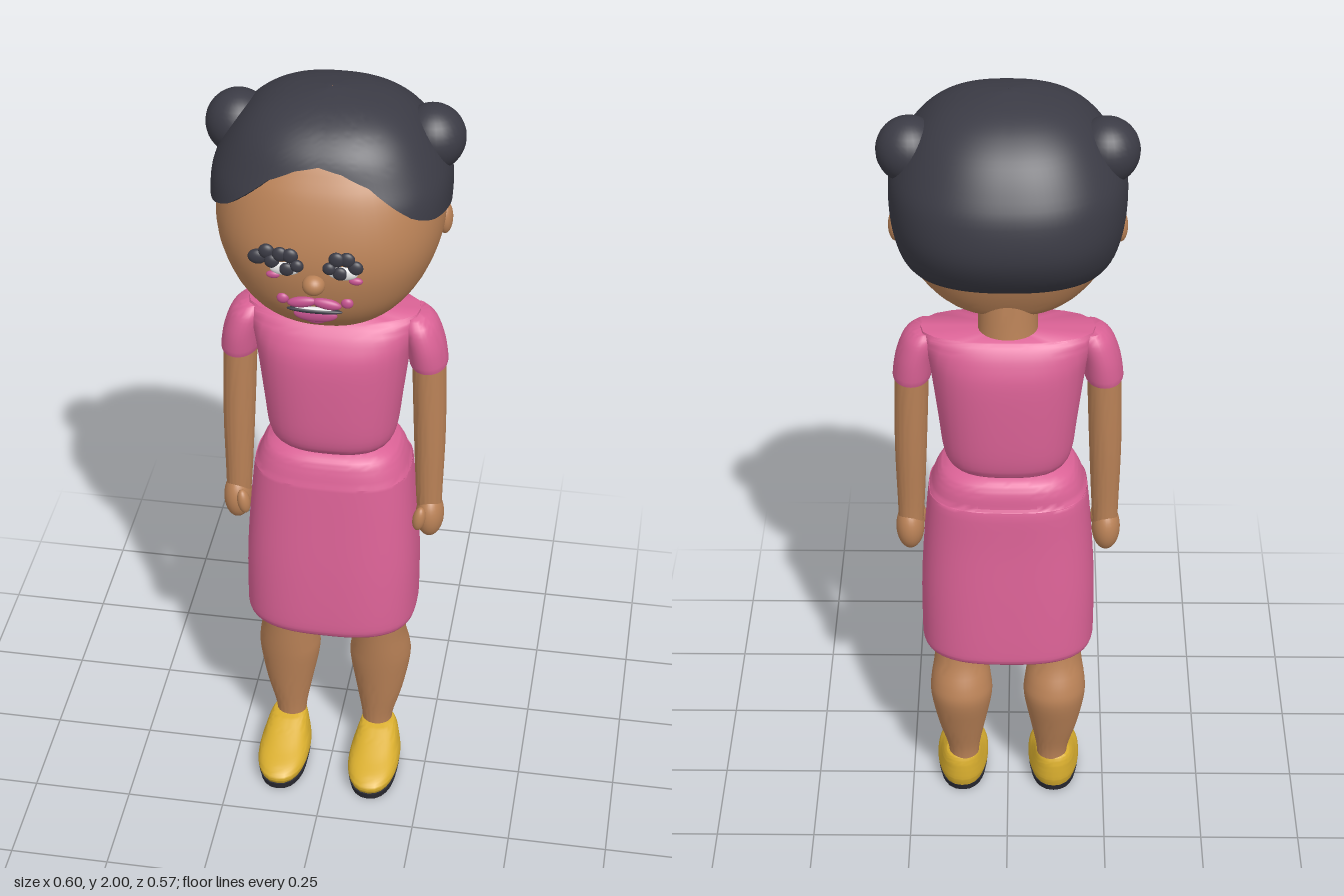
import * as THREE from 'three';
import { toCreasedNormals } from 'three/addons/utils/BufferGeometryUtils.js';

const mat = (name, color, side = THREE.FrontSide) => {
  const m = new THREE.MeshStandardMaterial({ color, side });
  m.name = name;
  return m;
};

// Smoothly subdivide a list of cross-sections
function densify(rings, steps = 4) {
  const out = [];
  const at = i => rings[Math.min(Math.max(i, 0), rings.length - 1)];
  for (let i = 0; i < rings.length - 1; i++) {
    for (let k = 0; k < steps; k++) {
      const t = k / steps;
      out.push(at(i).map((b, c) => {
        const a = at(i - 1)[c], d = at(i + 1)[c], e = at(i + 2)[c];
        return b + 0.5 * t * (d - a + t * (2 * a - 5 * b + 4 * d - e + t * (3 * (b - d) + e - a)));
      }));
    }
  }
  out.push(at(rings.length - 1));
  return out;
}

// Closed surface from rows of points, running upwards and anticlockwise
function grid(rows, cols, point, crease = 0.8) {
  const pos = [], idx = [];
  for (let i = 0; i < rows; i++)
    for (let j = 0; j < cols; j++) pos.push(...point(i, (j / cols) * Math.PI * 2));
  for (let i = 0; i < rows - 1; i++)
    for (let j = 0; j < cols; j++) {
      const a = i * cols + j, b = i * cols + ((j + 1) % cols);
      idx.push(a, b, b + cols, a, b + cols, a + cols);
    }
  const g = new THREE.BufferGeometry();
  g.setAttribute('position', new THREE.Float32BufferAttribute(pos, 3));
  g.setIndex(idx);
  return toCreasedNormals(g, crease);
}

// Distance from the middle to a rounded-square outline at a true angle
const polar = (a, rx, rz, n) =>
  1 / Math.pow(Math.pow(Math.abs(Math.sin(a)) / rx, n) + Math.pow(Math.abs(Math.cos(a)) / rz, n), 1 / n);

// Loft of rings [y, centre x, front z, back z, half width], capped at both ends
function loft(rings, { n = 2, side = 1, cols = 40, smooth = 4 } = {}) {
  const list = smooth > 1 ? densify(rings, smooth) : rings;
  const last = list.length - 1;
  return grid(list.length + 2, cols, (i, a) => {
    const [y, cx, zf, zb, rx] = list[Math.min(Math.max(i - 1, 0), last)];
    const r = i === 0 || i === last + 2 ? 0 : polar(a, rx, Math.max((zf - zb) / 2, 1e-4), n);
    return [side * cx + Math.sin(a) * r, y, (zf + zb) / 2 + Math.cos(a) * r];
  });
}

// Head and hair sections: [y, front depth, back depth, half width]
const headRings = densify([
  [1.44, 0.005, 0.005, 0.005], [1.445, 0.07, 0.05, 0.06], [1.46, 0.14, 0.08, 0.12], [1.49, 0.185, 0.1, 0.165],
  [1.53, 0.22, 0.12, 0.2], [1.58, 0.242, 0.14, 0.23], [1.65, 0.255, 0.17, 0.255], [1.72, 0.25, 0.2, 0.262],
  [1.8, 0.226, 0.22, 0.252], [1.86, 0.195, 0.2, 0.225], [1.92, 0.14, 0.16, 0.17], [1.96, 0.005, 0.005, 0.005]]);
const hairRings = densify([
  [1.57, 0.24, 0.17, 0.225], [1.62, 0.255, 0.235, 0.252], [1.7, 0.26, 0.28, 0.27], [1.79, 0.24, 0.276, 0.272],
  [1.85, 0.213, 0.25, 0.253], [1.91, 0.185, 0.21, 0.215], [1.95, 0.148, 0.165, 0.175], [1.975, 0.105, 0.12, 0.13],
  [1.99, 0.06, 0.07, 0.075], [2.0, 0.001, 0.001, 0.001]]);
const ROUND = 2.4;

function lerpTable(table, x) {
  let i = 0;
  while (i < table.length - 2 && table[i + 1][0] < x) i++;
  const a = table[i], b = table[i + 1];
  const t = Math.min(Math.max((x - a[0]) / (b[0] - a[0]), 0), 1);
  return a.map((v, c) => v + (b[c] - v) * t);
}
function skullPoint([, f, b, w], y, a, scale = 1) {
  const r = polar(a, w, Math.cos(a) > 0 ? f : b, ROUND) * scale;
  return [Math.sin(a) * r, y, Math.cos(a) * r];
}
// Depth of the face surface at x, y
function faceZ(x, y) {
  const [, f, , w] = lerpTable(headRings, y);
  return f * Math.pow(1 - Math.pow(Math.abs(x) / w, ROUND), 1 / ROUND);
}
// Lower hair edge: angle from the front in degrees, height
const hairline = [[0, 1.9], [15, 1.888], [30, 1.86], [42, 1.81], [50, 1.78], [62, 1.757], [77, 1.745],
  [94, 1.725], [102, 1.7], [107, 1.63], [113, 1.59], [122, 1.58], [180, 1.578]];

export function createModel() {
  const group = new THREE.Group();
  const skin = mat('skin', 0xba8257), pink = mat('pink cloth', 0xdb6296);
  const dark = mat('hair', 0x3b3b45, THREE.DoubleSide), gold = mat('yellow shoe', 0xd9ae2e);
  const sole = mat('sole', 0x2c2c34), white = mat('eye white', 0xeeeeee), lip = mat('lip', 0xc4528f);

  const add = (name, geo, material) => {
    const m = new THREE.Mesh(geo, material);
    m.name = name;
    group.add(m);
    return m;
  };
  const ball = (name, material, p, r, tilt = 0) => {
    const m = add(name, new THREE.SphereGeometry(1, 28, 18), material);
    m.position.set(...p);
    m.scale.set(...r);
    m.rotation.z = tilt;
    return m;
  };
  const onFace = (name, material, x, y, rx, ry, out = 0.006, depth = 0.01, tilt = 0) =>
    ball(name, material, [x, y, faceZ(x, y) + out], [rx, ry, depth], tilt);

  // Head and hair
  add('head', grid(headRings.length, 56, (i, a) => skullPoint(headRings[i], headRings[i][0], a)), skin);
  const ROWS = 30;
  add('hair', grid(ROWS + 2, 96, (i, a) => {
    const deg = Math.min(a, Math.PI * 2 - a) * 180 / Math.PI;
    const low = lerpTable(hairline, deg)[1];
    const y = low + (2 - low) * Math.sin(Math.max(i - 1, 0) / ROWS * Math.PI / 2);
    return skullPoint(lerpTable(hairRings, y), y, a, i === 0 ? 0.75 : 1);
  }), dark);

  // Face
  ball('nose', skin, [0, 1.64, 0.258], [0.026, 0.024, 0.025]);
  for (const s of [-1, 1]) {
    const side = s > 0 ? 'left' : 'right';
    onFace(side + 'Eye', white, s * 0.065, 1.675, 0.034, 0.016, 0.004, 0.01);
    onFace(side + 'Pupil', dark, s * 0.06, 1.677, 0.017, 0.016, 0.009, 0.009);
    for (const [x, y, r] of [[0.036, 1.69, 0.015], [0.052, 1.712, 0.018], [0.075, 1.712, 0.018], [0.094, 1.692, 0.017]])
      onFace(side + 'Lash', dark, s * x, y, r, r, 0.011, 0.01);
    onFace(side + 'Blush', lip, s * 0.093, 1.652, 0.016, 0.009, 0.001, 0.008);
    ball(side + 'Ear', skin, [s * 0.258, 1.67, -0.028], [0.017, 0.039, 0.026]);
    ball(side + 'Bun', dark, [s * 0.222, 1.87, -0.042], [0.076, 0.077, 0.076]);
    onFace('upperLip', lip, s * 0.028, 1.587, 0.034, 0.013, 0.005, 0.011, -s * 0.15);
    onFace('mouthCorner', lip, s * 0.073, 1.588, 0.014, 0.013, 0.002, 0.009);
  }
  onFace('rightOuterLash', dark, -0.128, 1.695, 0.022, 0.018, 0.012, 0.012);
  onFace('rightUpperLash', dark, -0.107, 1.713, 0.018, 0.018, 0.011, 0.011);
  onFace('lowerLip', lip, 0, 1.546, 0.05, 0.018, 0.004, 0.011);
  onFace('lowerLipTip', lip, 0, 1.532, 0.026, 0.013, 0.004, 0.01);
  onFace('mouthLine', dark, 0, 1.566, 0.064, 0.007, 0.008, 0.01);
  onFace('teeth', white, 0, 1.574, 0.045, 0.003, 0.011, 0.006);

  // Body and clothes
  add('neck', loft([[1.36, 0, 0.03, -0.115, 0.075], [1.42, 0, 0.025, -0.108, 0.07], [1.52, 0, 0.02, -0.1, 0.07]]), skin);
  add('top', loft([
    [1.035, 0, 0.05, -0.11, 0.11], [1.045, 0, 0.078, -0.14, 0.138], [1.08, 0, 0.098, -0.155, 0.156],
    [1.16, 0, 0.105, -0.162, 0.166], [1.3, 0, 0.104, -0.164, 0.184], [1.36, 0, 0.085, -0.152, 0.198],
    [1.395, 0, 0.06, -0.135, 0.205], [1.41, 0, 0.04, -0.12, 0.205]], { n: 2.6 }), pink);
  add('skirt', loft([
    [0.58, 0, 0.07, -0.12, 0.13], [0.54, 0, 0.115, -0.17, 0.185], [0.515, 0, 0.125, -0.182, 0.203],
    [0.525, 0, 0.138, -0.198, 0.213], [0.56, 0, 0.142, -0.2, 0.215], [0.7, 0, 0.135, -0.192, 0.214],
    [0.85, 0, 0.122, -0.181, 0.204], [0.955, 0, 0.112, -0.176, 0.194], [0.962, 0, 0.11, -0.167, 0.19],
    [1.0, 0, 0.1, -0.162, 0.176], [1.025, 0, 0.088, -0.15, 0.16], [1.04, 0, 0.065, -0.125, 0.13]],
    { n: 2.8, cols: 64 }), pink);
  for (const s of [-1, 1]) {
    const side = s > 0 ? 'left' : 'right', o = { side: s };
    const tube = (name, rings, material, n = 2) => add(side + name, loft(rings, { ...o, n }), material);

    // Arms
    tube('Sleeve', [[1.272, 0.228, 0.028, -0.09, 0.04], [1.275, 0.228, 0.035, -0.097, 0.046],
      [1.33, 0.22, 0.04, -0.1, 0.046], [1.38, 0.205, 0.032, -0.095, 0.043], [1.405, 0.195, 0.01, -0.08, 0.03]], pink);
    tube('Arm', [[0.83, 0.24, 0.008, -0.052, 0.03], [0.9, 0.238, 0.01, -0.055, 0.033],
      [1.08, 0.235, 0.014, -0.07, 0.039], [1.3, 0.228, 0.016, -0.08, 0.041]], skin);
    ball(side + 'Hand', skin, [s * 0.242, 0.822, -0.02], [0.035, 0.062, 0.046]);
    ball(side + 'Thumb', skin, [s * 0.22, 0.832, 0.022], [0.016, 0.034, 0.018], -s * 0.15);

    // Legs
    tube('Leg', [[0.06, 0.115, -0.002, -0.075, 0.038], [0.13, 0.115, 0, -0.075, 0.04],
      [0.22, 0.119, 0.012, -0.1, 0.06], [0.32, 0.119, 0.026, -0.128, 0.078], [0.37, 0.12, 0.032, -0.122, 0.076],
      [0.43, 0.12, 0.038, -0.097, 0.067], [0.5, 0.12, 0.045, -0.088, 0.067], [0.62, 0.12, 0.05, -0.1, 0.074]], skin);

    // Shoes
    tube('Shoe', [[0.018, 0.12, 0.165, -0.075, 0.059], [0.04, 0.12, 0.174, -0.081, 0.066],
      [0.058, 0.12, 0.15, -0.081, 0.064], [0.075, 0.12, 0.1, -0.08, 0.058], [0.095, 0.12, 0.05, -0.078, 0.051],
      [0.112, 0.118, 0.01, -0.072, 0.042], [0.116, 0.116, -0.005, -0.065, 0.03]], gold, 2.3);
    add(side + 'Sole', loft([[0, 0.12, 0.165, -0.07, 0.06], [0.02, 0.12, 0.17, -0.076, 0.064]],
      { ...o, n: 2.3, smooth: 1 }), sole);
  }
  return group;
}
